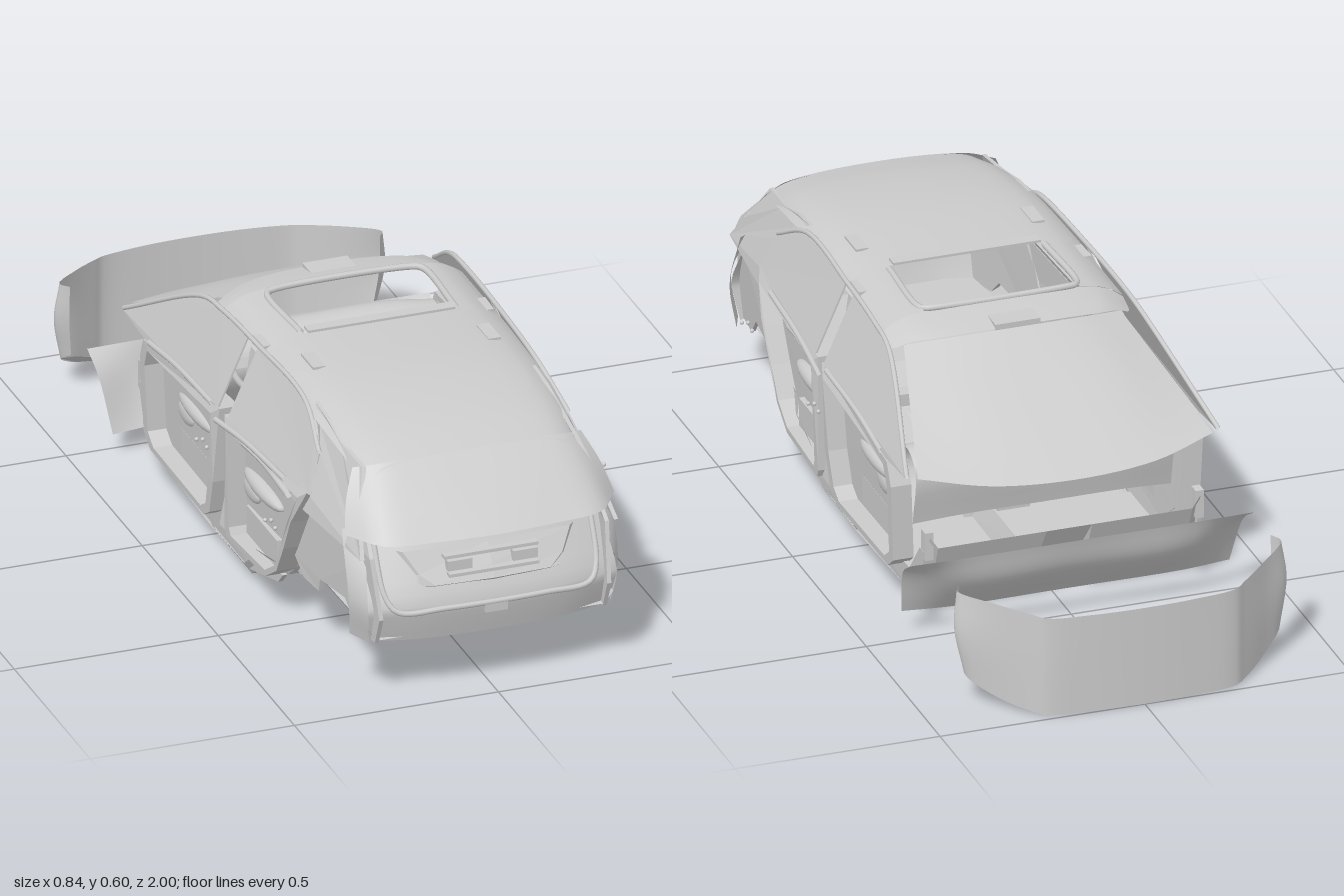
import * as THREE from 'three';

const mat = new THREE.MeshStandardMaterial({ color: 0xcccccc, side: THREE.DoubleSide });

const V = p => new THREE.Vector3(...p);

// Sheet through rows of points; half rows are mirrored across x = 0.
function sheet(name, rows, { mirror = true, smooth = true, n = 24, m = 12 } = {}) {
  let grid = rows.map(r => mirror
    ? [...r.slice().reverse().filter(p => p[0] > 0).map(p => [-p[0], p[1], p[2]]), ...r]
    : r);
  grid = grid.map(r => r.map(V));
  if (smooth) {
    const fit = (pts, k) => new THREE.CatmullRomCurve3(pts, false, 'centripetal').getPoints(k);
    grid = grid.map(r => fit(r, n));
    const cols = grid[0].map((_, i) => fit(grid.map(r => r[i]), m));
    grid = cols[0].map((_, j) => cols.map(c => c[j]));
  }
  const w = grid[0].length, index = [];
  for (let j = 0; j < grid.length - 1; j++)
    for (let i = 0; i < w - 1; i++) {
      const a = j * w + i;
      index.push(a, a + w, a + 1, a + 1, a + w, a + w + 1);
    }
  let geo = new THREE.BufferGeometry().setFromPoints(grid.flat());
  geo.setIndex(index);
  if (!smooth) geo = geo.toNonIndexed();
  geo.computeVertexNormals();
  return named(name, geo);
}

function named(name, geo) {
  const mesh = new THREE.Mesh(geo, mat);
  mesh.name = name;
  return mesh;
}

function box(name, w, h, d, x, y, z) {
  const mesh = named(name, new THREE.BoxGeometry(w, h, d));
  mesh.position.set(x, y, z);
  return mesh;
}

function tube(name, pts, r, k = 32) {
  const curve = new THREE.CatmullRomCurve3(pts.map(V), false, 'centripetal');
  return named(name, new THREE.TubeGeometry(curve, k, r, 8));
}

function ellipsoid(name, size, pos) {
  const mesh = named(name, new THREE.SphereGeometry(1, 20, 12));
  mesh.scale.set(...size);
  mesh.position.set(...pos);
  return mesh;
}

// Half width of the cabin side: widest at the belt, leaning in above it and towards the rear.
const sideX = (y, z) => 0.382 - Math.max(0, y - 0.38) * 0.44 - Math.max(0, 0.34 - y) * 0.04
  - Math.max(0, z - 0.6) * 0.1 - Math.min(0.02, Math.max(0, z - 0.1) * 0.04);

// Panel drawn as [z, y] points and wrapped onto the cabin side.
function sidePanel(name, s, pts, depth, inset = 0, hole = null) {
  const toV = a => a.map(p => new THREE.Vector2(...p));
  const shape = new THREE.Shape(toV(pts));
  if (hole) shape.holes.push(new THREE.Path(toV(hole)));
  const geo = new THREE.ExtrudeGeometry(shape, { depth, bevelEnabled: false });
  const p = geo.attributes.position;
  for (let i = 0; i < p.count; i++) {
    const z = p.getX(i), y = p.getY(i), d = p.getZ(i);
    p.setXYZ(i, s * (sideX(y, z) - inset - d), y, z);
  }
  // keep faces outward on the side where the mapping does not mirror them
  if (s > 0) {
    for (let i = 0; i < p.count; i += 3) {
      const a = new THREE.Vector3().fromBufferAttribute(p, i);
      p.setXYZ(i, p.getX(i + 1), p.getY(i + 1), p.getZ(i + 1));
      p.setXYZ(i + 1, a.x, a.y, a.z);
    }
  }
  geo.computeVertexNormals();
  return named(name, geo);
}

// Shrinks an outline towards its middle.
function shrink(pts, k) {
  const c = pts.reduce((a, p) => [a[0] + p[0] / pts.length, a[1] + p[1] / pts.length], [0, 0]);
  return pts.map(p => [c[0] + (p[0] - c[0]) * k, c[1] + (p[1] - c[1]) * k]);
}

const rearDoor = [[0.66, 0.41], [0.6, 0.31], [0.55, 0.22], [0.5, 0.14], [0.43, 0.095], [0.2, 0.09], [0.19, 0.11], [0.19, 0.4]];
const frontDoor = [[0.16, 0.4], [0.13, 0.2], [0.1, 0.11], [0.06, 0.085], [-0.29, 0.09], [-0.33, 0.12], [-0.335, 0.31], [-0.31, 0.365]];
const rearGlass = [[0.21, 0.4], [0.21, 0.568], [0.38, 0.572], [0.5, 0.562], [0.58, 0.54], [0.63, 0.505], [0.67, 0.41]];
const frontGlass = [[0.15, 0.4], [0.15, 0.568], [0, 0.566], [-0.12, 0.548], [-0.25, 0.49], [-0.44, 0.38], [-0.3, 0.37]];
const quarterUpper = [[0.94, 0.36], [0.88, 0.43], [0.81, 0.53], [0.69, 0.54], [0.6, 0.56], [0.52, 0.568],
  [0.58, 0.54], [0.63, 0.49], [0.66, 0.4], [0.64, 0.36]];
const quarterLower = [[0.95, 0.15], [0.98, 0.22], [0.94, 0.36], [0.9, 0.4], [0.64, 0.4], [0.57, 0.28], [0.53, 0.19],
  [0.58, 0.155], [0.66, 0.155], [0.67, 0.19], [0.8, 0.2], [0.85, 0.15]];

function cabinSide(s) {
  const g = new THREE.Group();
  g.name = s > 0 ? 'leftSide' : 'rightSide';
  for (const [name, pts, z] of [['rearDoor', rearDoor, 0.33], ['frontDoor', frontDoor, -0.1]]) {
    g.add(sidePanel(name + 'Frame', s, pts, 0.05, 0, shrink(pts, 0.88)));
    g.add(sidePanel(name + 'Trim', s, shrink(pts, 0.9), 0.006, 0.046));
    // armrest, pull cup, map pocket and upper rail
    g.add(ellipsoid(name + 'Armrest', [0.025, 0.022, 0.12], [s * 0.322, 0.265, z]));
    g.add(ellipsoid(name + 'PullCup', [0.012, 0.025, 0.05], [s * 0.33, 0.235, z - 0.06]));
    g.add(box(name + 'Pocket', 0.02, 0.07, 0.2, s * 0.32, 0.145, z));
    g.add(tube(name + 'Rail', [[s * 0.328, 0.33, z + 0.17], [s * 0.332, 0.345, z], [s * 0.332, 0.33, z - 0.14]], 0.009));
    g.add(tube(name + 'BeltSeal', [[0.22, 0.398], [0, 0.392], [-0.17, 0.375]]
      .map(([dz, y]) => [s * sideX(y, z + dz), y, z + dz]), 0.007));
  }
  g.add(sidePanel('rearSideGlass', s, rearGlass, 0.005));
  g.add(sidePanel('frontSideGlass', s, frontGlass, 0.005));
  g.add(sidePanel('middlePillar', s, [[0.13, 0.09], [0.2, 0.09], [0.215, 0.57], [0.15, 0.57]], 0.025, 0.012));
  g.add(sidePanel('rearPillar', s, quarterUpper, 0.01, 0.012));
  g.add(sidePanel('wheelhouseTrim', s, quarterLower, 0.01, 0.035));
  g.add(sidePanel('sill', s, [[0.45, 0.1], [0.42, 0.07], [0.25, 0.025], [0.02, 0.025], [-0.32, 0.04], [-0.42, 0.06],
    [-0.45, 0.19], [-0.42, 0.19], [-0.34, 0.1], [0.1, 0.1]], 0.012, 0.035));
  g.add(box('cowlPost', 0.02, 0.07, 0.03, s * 0.33, 0.205, -0.44));
  // roof edge seal
  g.add(tube('roofSeal', [[0.64, 0.5], [0.5, 0.563], [0.2, 0.572], [0, 0.566], [-0.12, 0.55], [-0.44, 0.385]]
    .map(([z, y]) => [s * sideX(y, z), y, z]), 0.006, 48));
  // door handle pins
  for (const z of [0.13, 0.58])
    for (const [x, y] of [[0.4, 0.314], [0.415, 0.317], [0.39, 0.292]])
      g.add(ellipsoid('handlePin', [0.005, 0.005, 0.005], [s * x, y, z]));
  // roof strip beside the opening, and a rail mount
  g.add(sheet('roofStrip', [0.23, -0.03].map(z =>
    [[s * 0.19, 0.59, z], [s * 0.235, 0.582, z], [s * 0.272, 0.566, z], [s * 0.295, 0.55, z]]), { mirror: false }));
  g.add(box('railMount', 0.03, 0.006, 0.08, s * 0.215, 0.589, 0.36));
  // corner post beside the tailgate
  g.add(sheet('rearCornerPost', [
    [[s * 0.28, 0.4, 0.87], [s * 0.325, 0.4, 0.84]],
    [[s * 0.305, 0.25, 0.96], [s * 0.33, 0.25, 0.9]],
    [[s * 0.295, 0.148, 0.94], [s * 0.32, 0.15, 0.88]]], { mirror: false }));
  return g;
}

export function createModel() {
  const car = new THREE.Group();
  car.name = 'carCabinShell';
  car.add(cabinSide(1), cabinSide(-1));

  // Roof behind the opening, and the header in front of it
  const roofRow = (z, y, w) => [[0, y, z], [w * 0.48, y - 0.004, z], [w * 0.78, y - 0.014, z], [w * 0.92, y - 0.03, z], [w, y - 0.045, z - 0.01]];
  car.add(sheet('roof', [roofRow(0.83, 0.545, 0.265), roofRow(0.7, 0.575, 0.28), roofRow(0.5, 0.597, 0.29), roofRow(0.22, 0.596, 0.295)]));
  car.add(sheet('roofHeader', [roofRow(-0.02, 0.592, 0.295), roofRow(-0.08, 0.583, 0.288),
    [[0, 0.572, -0.14], [0.12, 0.57, -0.136], [0.2, 0.563, -0.125], [0.24, 0.556, -0.11], [0.265, 0.548, -0.1]]]));
  car.add(tube('roofOpeningTrim', [[-0.19, 0.588, 0.21], [-0.19, 0.588, -0.01], [-0.17, 0.59, -0.02], [0.17, 0.59, -0.02],
    [0.19, 0.588, -0.01], [0.19, 0.588, 0.21]], 0.008, 60));
  car.add(box('slidingRoofEdge', 0.36, 0.006, 0.03, 0, 0.599, 0.22));
  car.add(box('overheadConsole', 0.11, 0.014, 0.08, 0, 0.575, -0.1));

  // Windscreen and rear window
  car.add(sheet('windscreen', [
    [[0, 0.568, -0.14], [0.15, 0.563, -0.13], [0.265, 0.548, -0.1]],
    [[0, 0.482, -0.32], [0.18, 0.48, -0.31], [0.31, 0.472, -0.27]],
    [[0, 0.362, -0.54], [0.2, 0.368, -0.52], [0.36, 0.385, -0.46]]]));
  car.add(sheet('rearWindow', [
    [[0, 0.545, 0.82], [0.14, 0.542, 0.82], [0.225, 0.536, 0.815], [0.28, 0.525, 0.79]],
    [[0, 0.475, 0.905], [0.15, 0.474, 0.9], [0.25, 0.47, 0.885], [0.31, 0.465, 0.83]],
    [[0, 0.4, 0.995], [0.15, 0.4, 0.985], [0.265, 0.4, 0.965], [0.33, 0.4, 0.875]]]));

  // Tailgate with its frame, pocket, handle and latch
  const gateRow = (y, z, w) => [[0, y, z], [w * 0.6, y, z - 0.01], [w, y, z - 0.04]];
  car.add(sheet('tailgate', [gateRow(0.4, 0.9, 0.285), gateRow(0.32, 0.945, 0.3), gateRow(0.235, 0.985, 0.31), gateRow(0.2, 0.98, 0.305), gateRow(0.145, 0.965, 0.295)]));
  car.add(tube('tailgateSeal', [[-0.265, 0.4, 0.875], [-0.258, 0.26, 0.95], [-0.235, 0.229, 0.971], [-0.12, 0.226, 0.982],
    [0.12, 0.226, 0.982], [0.235, 0.229, 0.971], [0.258, 0.26, 0.95], [0.265, 0.4, 0.875]], 0.007, 60));
  car.add(sheet('tailgatePocket', [
    [[0, 0.355, 0.93], [0.205, 0.355, 0.92], [0.225, 0.355, 0.9]],
    [[0, 0.31, 0.958], [0.175, 0.305, 0.95], [0.195, 0.3, 0.93]],
    [[0, 0.28, 0.975], [0.14, 0.28, 0.968], [0.18, 0.28, 0.955]],
    [[0, 0.27, 0.965], [0.14, 0.27, 0.955], [0.185, 0.27, 0.945]]], { smooth: false }));
  for (const x of [-0.08, 0.08]) car.add(box('handleGrip', 0.06, 0.025, 0.02, x, 0.322, 0.955));
  car.add(box('handleBar', 0.23, 0.008, 0.02, 0, 0.34, 0.945));
  car.add(box('handleLip', 0.22, 0.008, 0.02, 0, 0.302, 0.965));
  car.add(box('latch', 0.055, 0.022, 0.02, 0, 0.213, 0.98));

  // Floor pan with raised tunnel, foot wells, cargo floor and toe board
  const floorRow = ([z, y, t, w]) => [[0, t, z], [0.045, t, z], [0.065, y, z], [w, y, z], [w + 0.02, y + 0.03, z]];
  car.add(sheet('floorPan', [[0.95, 0.155, 0.155, 0.28], [0.57, 0.16, 0.16, 0.29], [0.49, 0.14, 0.14, 0.3], [0.45, 0.1, 0.1, 0.31],
    [0.32, 0.08, 0.09, 0.32], [0.27, 0.03, 0.09, 0.32], [0.24, 0.008, 0.09, 0.32], [0.03, 0.008, 0.09, 0.32], [-0.01, 0.035, 0.09, 0.32], [-0.3, 0.03, 0.09, 0.32],
    [-0.4, 0.06, 0.1, 0.31], [-0.46, 0.2, 0.2, 0.31]].map(floorRow), { smooth: false }));
  car.add(box('rearFloorBeam', 0.58, 0.03, 0.04, 0, 0.125, 0.46));

  // Centre console, dashboard and steering wheel
  car.add(box('centreConsole', 0.08, 0.14, 0.32, 0, 0.16, 0.05));
  car.add(sheet('dashboard', [[0.2, -0.31], [0.34, -0.33], [0.375, -0.28], [0.36, -0.22], [0.3, -0.19], [0.2, -0.24]].map(([y, z]) =>
    [[0, y, z], [0.2, y, z], [0.315, y - 0.01, z + 0.01]]), { m: 20 }));
  const wheel = new THREE.Group();
  wheel.name = 'steeringWheel';
  wheel.add(named('wheelRim', new THREE.TorusGeometry(0.075, 0.008, 10, 36)));
  wheel.add(box('wheelSpoke', 0.14, 0.02, 0.01, 0, 0, -0.005), box('wheelHub', 0.05, 0.045, 0.02, 0, 0, 0));
  wheel.position.set(-0.16, 0.36, -0.12);
  wheel.rotation.x = -0.4;
  car.add(wheel);

  // Wide curved panel ahead of the cabin, more deeply curled at its ends
  car.add(sheet('frontPanel', [
    [[0, 0.225, -0.578], [0.28, 0.225, -0.578], [0.42, 0.225, -0.575]],
    [[0, 0.15, -0.552], [0.28, 0.15, -0.55], [0.415, 0.178, -0.51]],
    [[0, 0.055, -0.475], [0.28, 0.055, -0.475], [0.4, 0.055, -0.46]]]));

  // Separate bumper skin with swept corners and lower lips
  car.add(sheet('bumperSkin', [
    [[0, 0.245, -1], [0.13, 0.245, -0.994], [0.23, 0.245, -0.977], [0.26, 0.25, -0.955], [0.33, 0.262, -0.895], [0.395, 0.272, -0.825], [0.38, 0.275, -0.795]],
    [[0, 0.12, -1], [0.13, 0.12, -0.994], [0.23, 0.12, -0.979], [0.26, 0.125, -0.957], [0.33, 0.15, -0.9], [0.405, 0.18, -0.835], [0.38, 0.19, -0.8]],
    [[0, 0, -1], [0.13, 0, -0.994], [0.23, 0, -0.979], [0.26, 0.004, -0.957], [0.325, 0.025, -0.9], [0.385, 0.07, -0.845], [0.37, 0.09, -0.815]]], { n: 60 }));
  for (const s of [1, -1]) car.add(sheet('bumperLip', [
    [[s * 0.235, 0, -0.978], [s * 0.325, 0.025, -0.9], [s * 0.385, 0.07, -0.845]],
    [[s * 0.235, 0.05, -0.835], [s * 0.3, 0.07, -0.82], [s * 0.365, 0.09, -0.805]]], { mirror: false, smooth: false }));
  return car;
}
